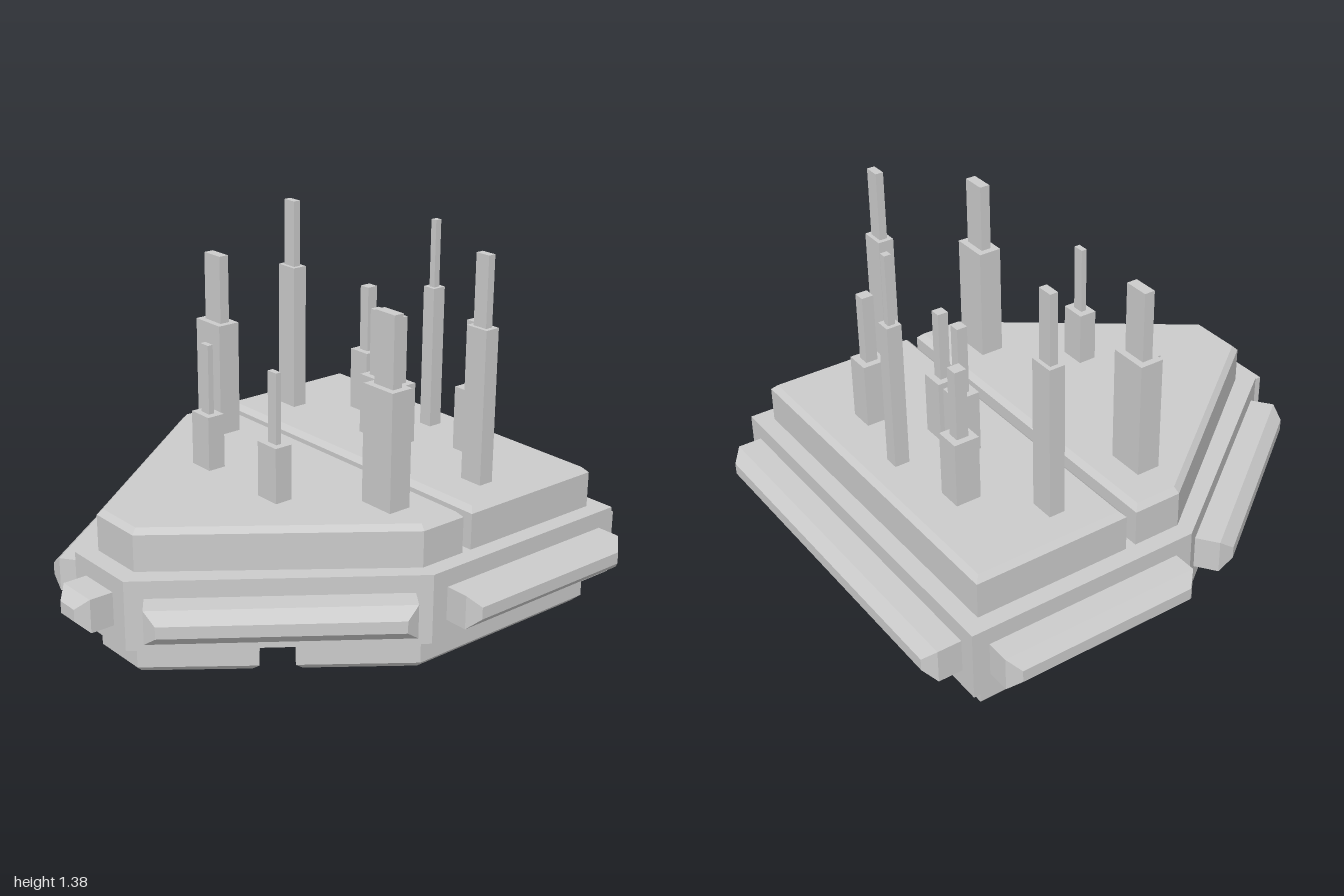
import * as THREE from 'three';

const material = new THREE.MeshStandardMaterial({ color: 0xcccccc, flatShading: true });

// Moves every edge of a counter-clockwise outline inward by d (mitred corners).
function inset(points, d) {
  const n = points.length;
  return points.map((p, i) => {
    const e1 = p.clone().sub(points[(i + n - 1) % n]).normalize();
    const e2 = points[(i + 1) % n].clone().sub(p).normalize();
    const n1 = new THREE.Vector2(-e1.y, e1.x);
    const n2 = new THREE.Vector2(-e2.y, e2.x);
    const k = d / (1 + n1.dot(n2));
    return p.clone().addScaledVector(n1.add(n2), k);
  });
}

// Prism along +z from 0 to depth, with a chamfer around its far end.
function prism(outline, depth, chamfer = 0) {
  let pts = outline.map(([x, y]) => new THREE.Vector2(x, y));
  if (THREE.ShapeUtils.isClockWise(pts)) pts = pts.reverse();
  const n = pts.length;
  const rings = [[pts, 0], [pts, depth - chamfer]];
  if (chamfer > 0) rings.push([inset(pts, chamfer), depth]);
  const position = [];
  for (const [ring, z] of rings) for (const p of ring) position.push(p.x, p.y, z);
  const index = [];
  for (let r = 0; r < rings.length - 1; r++) {
    for (let i = 0; i < n; i++) {
      const a = r * n + i, b = r * n + (i + 1) % n;
      index.push(a, b, b + n, a, b + n, a + n);
    }
  }
  const end = (rings.length - 1) * n;
  for (const [a, b, c] of THREE.ShapeUtils.triangulateShape(pts, [])) {
    index.push(a, c, b, end + a, end + b, end + c);
  }
  const g = new THREE.BufferGeometry();
  g.setAttribute('position', new THREE.Float32BufferAttribute(position, 3));
  g.setIndex(index);
  const flat = g.toNonIndexed();
  flat.computeVertexNormals();
  return flat;
}

function addMesh(parent, name, geometry) {
  const mesh = new THREE.Mesh(geometry, material);
  mesh.name = name;
  parent.add(mesh);
  return mesh;
}

// Plan outlines are [x, z]; blocks rise from y, or hang down from y.
const rise = (outline, y, h, c) =>
  prism(outline.map(([x, z]) => [x, -z]), h, c).rotateX(-Math.PI / 2).translate(0, y, 0);
const hang = (outline, y, h, c) =>
  prism(outline, h, c).rotateX(Math.PI / 2).translate(0, y, 0);

// Completes a half outline (+x side) with its mirror image.
const mirrored = (half) => [...half, ...half.map(([x, z]) => [-x, z]).reverse()];
const flipX = (outline) => outline.map(([x, z]) => [-x, z]);

export function createModel() {
  const model = new THREE.Group();
  model.name = 'cityPlatform';

  // Main deck and the two raised plateaus
  addMesh(model, 'mainDeck', rise(mirrored([[0.765, -0.87], [0.765, 0.03], [0.15, 0.87]]), 0.13, 0.26));
  addMesh(model, 'rearPlateau', rise(mirrored([[0.7, -0.805], [0.7, -0.205]]), 0.39, 0.155, 0.02));
  addMesh(model, 'frontPlateau',
    rise(mirrored([[0.7, -0.165], [0.7, 0.02], [0.11, 0.8]]), 0.39, 0.155, 0.02));

  // Keel blocks under the deck, separated by grooves
  const keel = new THREE.Group();
  keel.name = 'keel';
  model.add(keel);
  const side = [[0.7, -0.805], [0.7, 0.02], [0.44, 0.365], [0.11, 0.1], [0.62, -0.805]];
  const addKeel = (name, outline) => addMesh(keel, name, hang(outline, 0.13, 0.13, 0.025));
  addKeel('leftKeelBlock', side);
  addKeel('rightKeelBlock', flipX(side));
  addKeel('rearKeelBlock', [[0.53, -0.805], [0, 0.0], [-0.53, -0.805]]);
  addKeel('noseKeelBlock', mirrored([[0.05, 0.68], [0.25, 0.375], [0.365, 0.465], [0.11, 0.8]]));
  addKeel('centreKeelBlock', [[0, 0.22], [0.13, 0.36], [0, 0.51], [-0.13, 0.36]]);

  // Chamfered bumper bars around the deck edge
  const bars = new THREE.Group();
  bars.name = 'bumperBars';
  model.add(bars);
  const addBar = (name, x, z, length, angle) => {
    const w = length / 2, h = 0.0625;
    const bar = addMesh(bars, name, prism([[-w, -h], [w, -h], [w, h], [-w, h]], 0.13, 0.04));
    bar.position.set(x, 0.2625, z);
    bar.rotation.y = angle;
  };
  addBar('frontBar', 0, 0.87, 0.165, 0);
  addBar('rearBar', 0, -0.87, 1.4, Math.PI);
  const slant = Math.atan2(0.84, 0.615);
  for (const s of [1, -1]) {
    const label = s > 0 ? 'left' : 'right';
    addBar(label + 'SideBar', s * 0.765, -0.42, 0.77, s * Math.PI / 2);
    addBar(label + 'DiagonalBar', s * 0.459, 0.447, 0.915, s * slant);
  }

  // Two-stage towers: x, z, base width, depth, top y, then spire width, depth, top y
  const towers = [
    [0.525, -0.4, 0.095, 0.06, 1.12, 0.06, 0.03, 1.38],
    [0.483, 0, 0.145, 0.09, 0.98, 0.095, 0.04, 1.24],
    [0.295, -0.6, 0.095, 0.095, 0.79, 0.045, 0.045, 1.05],
    [0.06, -0.44, 0.09, 0.09, 0.78, 0.04, 0.04, 1.04],
    [0.195, 0.26, 0.1, 0.07, 0.75, 0.045, 0.022, 1.01],
    [0, -0.67, 0.056, 0.056, 1.1, 0.026, 0.026, 1.36],
  ];
  const deckTop = 0.545;
  for (const [x, z, bw, bd, by, sw, sd, sy] of towers) {
    for (const s of x > 0 ? [1, -1] : [1]) {
      const tower = new THREE.Group();
      tower.name = 'tower';
      tower.position.set(s * x, 0, z);
      model.add(tower);
      addMesh(tower, 'towerBase',
        new THREE.BoxGeometry(bw, by - deckTop, bd).translate(0, (by + deckTop) / 2, 0));
      addMesh(tower, 'towerSpire',
        new THREE.BoxGeometry(sw, sy - by, sd).translate(0, (sy + by) / 2, 0));
    }
  }
  return model;
}
